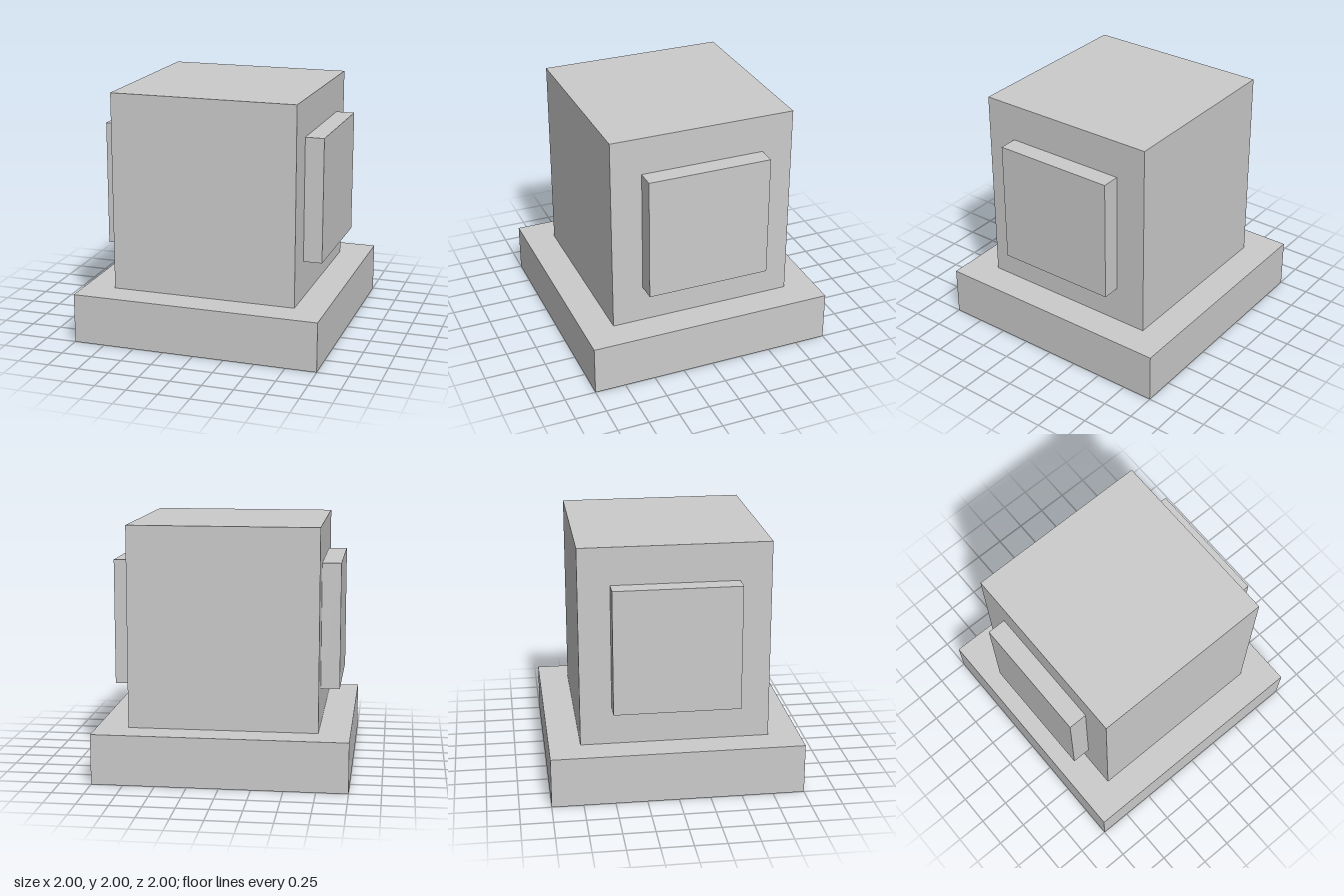
import * as THREE from 'three';

const material = new THREE.MeshStandardMaterial({ color: 0xcccccc, flatShading: true });

// Box given by its size and the position of its centre
function box(name, [w, h, d], [x, y, z]) {
  const mesh = new THREE.Mesh(new THREE.BoxGeometry(w, h, d), material);
  mesh.name = name;
  mesh.position.set(x, y, z);
  return mesh;
}

export function createModel() {
  const model = new THREE.Group();
  model.name = 'blockOnPlinth';

  // Square plinth and the block standing on it
  model.add(box('base', [2, 0.4, 2], [0, 0.2, 0]));
  model.add(box('body', [1.5, 1.6, 1.5], [0, 1.2, 0]));

  // Raised panel on each side
  for (const [name, side] of [['leftPanel', 1], ['rightPanel', -1]]) {
    model.add(box(name, [0.15, 1, 1], [side * 0.825, 1.2, 0]));
  }

  return model;
}
